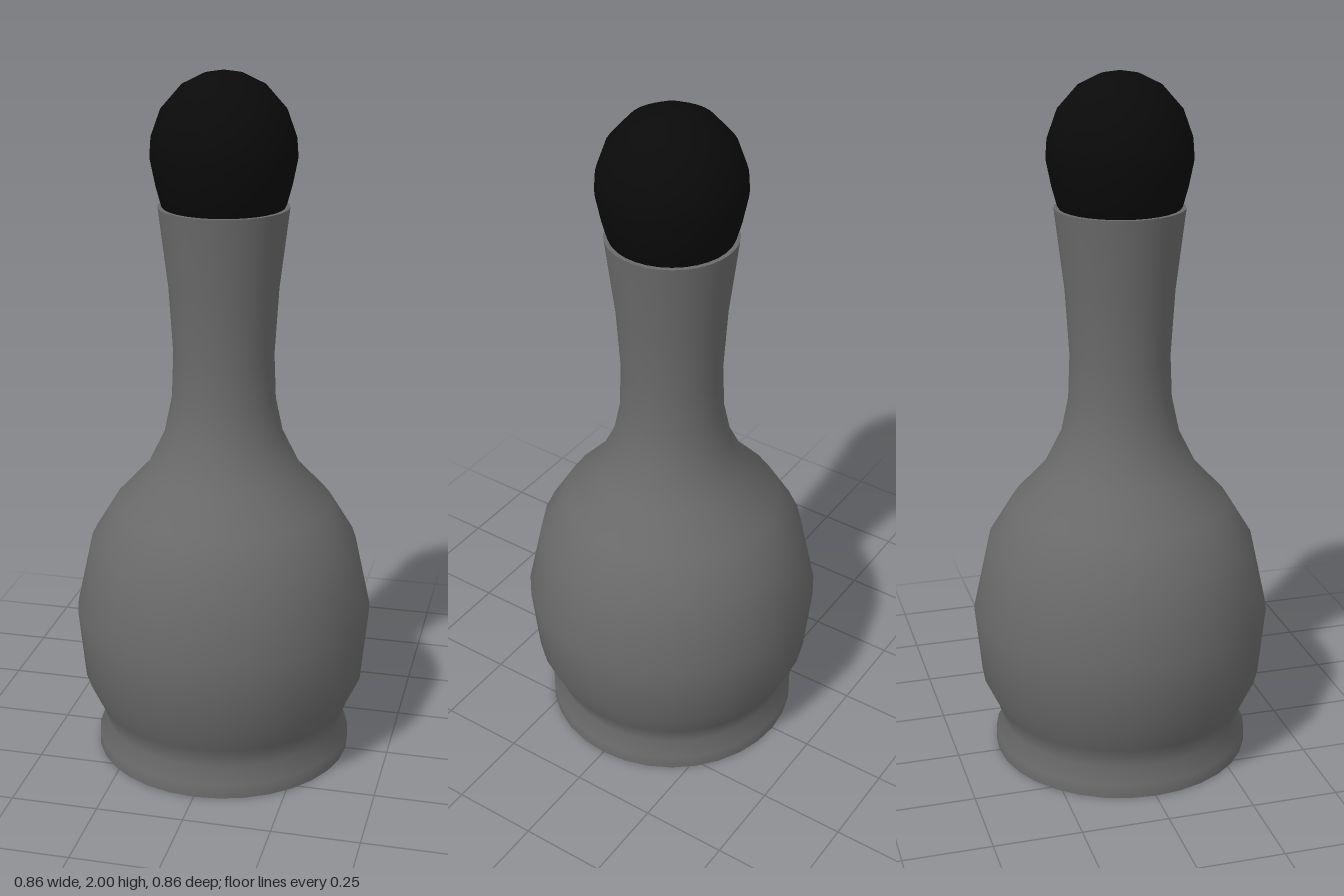
import * as THREE from 'three';
import { toCreasedNormals } from 'three/addons/utils/BufferGeometryUtils.js';

// Turns a [radius, height] profile, listed from bottom to top, around the y axis
function turned(name, color, profile) {
  const points = profile.map(([r, y]) => new THREE.Vector2(r, y));
  const geometry = toCreasedNormals(new THREE.LatheGeometry(points, 32), 1.0);
  const mesh = new THREE.Mesh(geometry, new THREE.MeshStandardMaterial({ color }));
  mesh.name = name;
  return mesh;
}

export function createModel() {
  const model = new THREE.Group();
  model.name = 'stopperedBottle';

  // Foot ring, round belly, slim neck and flared rim
  model.add(turned('bottle', 0x6a6a6a, [
    [0, 0], [0.375, 0], [0.375, 0.04], [0.35, 0.085], [0.372, 0.15],
    [0.412, 0.235], [0.432, 0.44], [0.385, 0.655], [0.315, 0.77],
    [0.222, 0.87], [0.17, 0.975], [0.148, 1.08], [0.143, 1.21],
    [0.155, 1.4], [0.183, 1.63], [0, 1.63],
  ]));

  // Slightly egg-shaped stopper sitting in the rim
  model.add(turned('stopper', 0x0a0a0a, [
    [0, 1.56], [0.1, 1.57], [0.15, 1.595], [0.173, 1.635], [0.188, 1.69], [0.203, 1.765],
    [0.199, 1.82], [0.172, 1.895], [0.115, 1.96], [0.055, 1.99], [0, 2],
  ]));

  return model;
}
